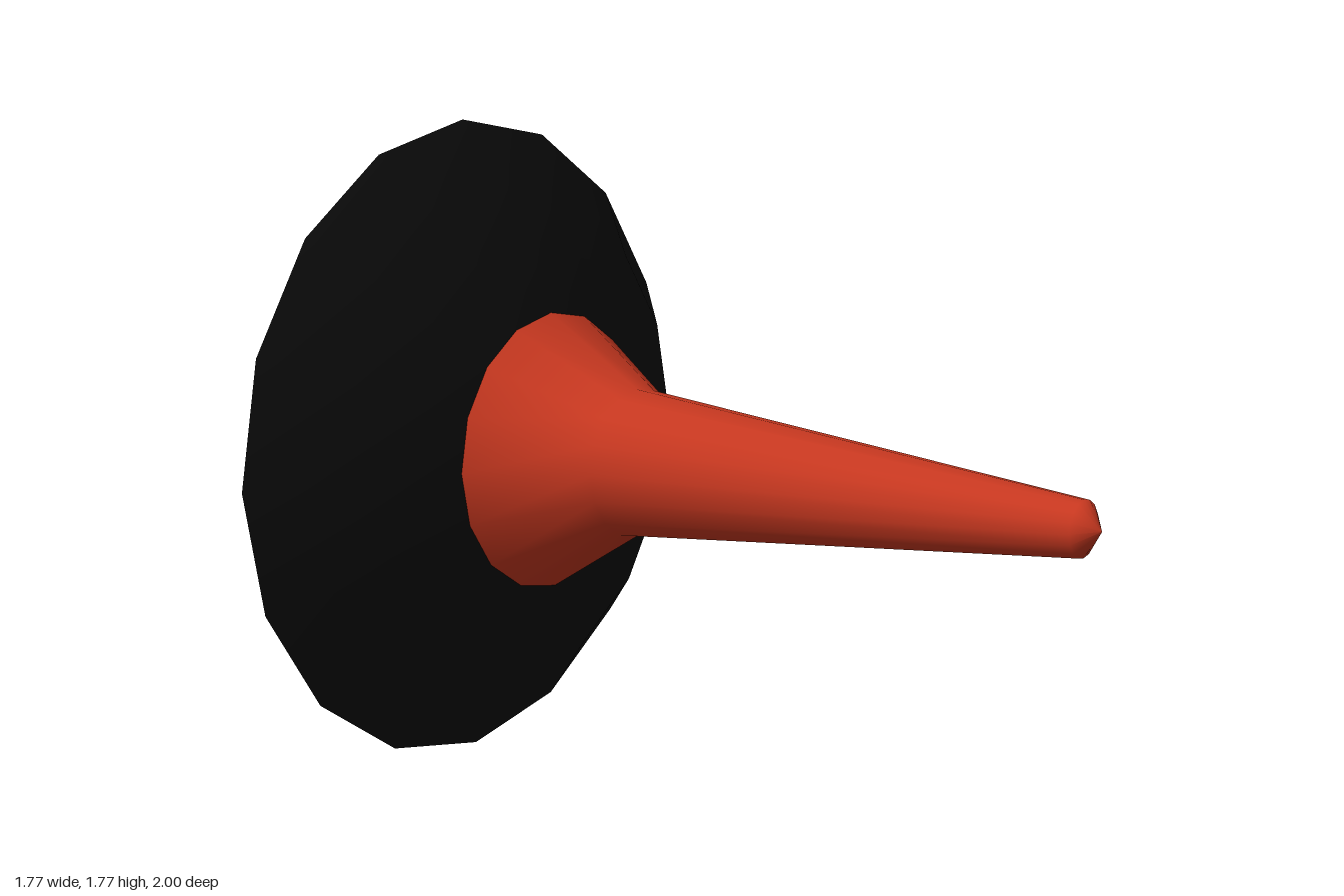
import * as THREE from 'three';

const SIDES = 16;
const RADIUS = 0.885;

// Turns [radius, z] pairs, listed from back to front, around the z axis.
function turned(name, profile, color) {
  const points = profile.map(([r, z]) => new THREE.Vector2(r, z));
  const geometry = new THREE.LatheGeometry(points, SIDES).rotateX(Math.PI / 2);
  const mesh = new THREE.Mesh(geometry, new THREE.MeshStandardMaterial({ color }));
  mesh.name = name;
  return mesh;
}

export function createModel() {
  const model = new THREE.Group();
  model.name = 'flaredSpike';

  // Tapered stem with a blunt tip and a flared foot
  const stem = turned('stem', [[0.38, -0.7], [0.2, -0.41], [0.073, 0.95], [0, 1]], 0xc83820);

  // Dark dish around the foot of the stem
  const dish = turned('dish', [[RADIUS, -1], [0.67, -0.81], [0.38, -0.7]], 0x0c0c0c);

  // Flat plate closing the back of the dish
  const backPlate = new THREE.Mesh(
    new THREE.CircleGeometry(RADIUS, SIDES).rotateY(Math.PI),
    new THREE.MeshStandardMaterial({ color: 0xcccccc })
  );
  backPlate.name = 'backPlate';
  backPlate.position.z = -1;

  model.add(stem, dish, backPlate);
  model.position.y = RADIUS;
  return model;
}
